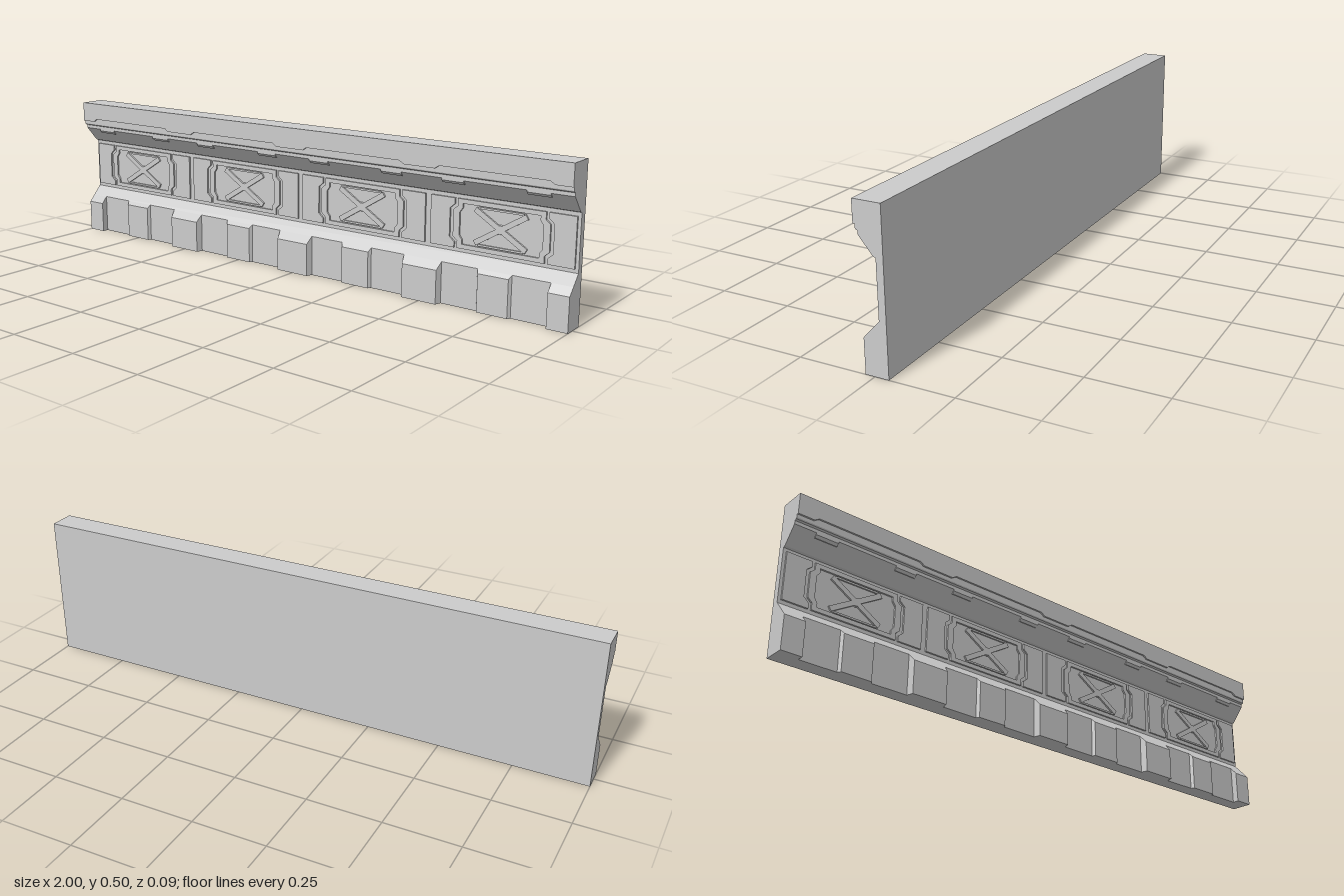
import * as THREE from 'three';

const material = new THREE.MeshStandardMaterial({ color: 0xcccccc, flatShading: true });
const toShape = (points) => new THREE.Shape(points.map(([x, y]) => new THREE.Vector2(x, y)));

// Sweep a [z, y] profile along x, centred on x = 0
function sweep(profile, width) {
  return new THREE.ExtrudeGeometry(toShape(profile), { depth: width, bevelEnabled: false })
    .rotateY(-Math.PI / 2).translate(width / 2, 0, 0);
}

// Raise a flat [x, y] outline from z0 to z1
function plate(points, z0, z1) {
  return new THREE.ExtrudeGeometry(toShape(points), { depth: z1 - z0, bevelEnabled: false })
    .translate(0, 0, z0);
}

function add(parent, name, geometry, x = 0) {
  const mesh = new THREE.Mesh(geometry, material);
  mesh.name = name;
  mesh.position.x = x;
  parent.add(mesh);
  return mesh;
}

const WALL = -0.022; // front plane of the recessed wall
const FACE = -0.016; // front plane of the raised panel work
const RECESS = 0.008; // front plane of the base between piers
const slopeY = (z) => 0.11 + (0.03 - z) * (0.057 / 0.052);

// Base pier, following the sloping base top, with slightly tapered flanks
function pierGeometry(width, z, taper = 0.006) {
  const g = sweep([[RECESS, 0], [z, 0], [z, slopeY(z)], [RECESS, slopeY(RECESS)]], width);
  const p = g.attributes.position;
  for (let i = 0; i < p.count; i++) {
    if (p.getZ(i) > RECESS + 0.001) p.setX(i, p.getX(i) - Math.sign(p.getX(i)) * taper);
  }
  g.computeVertexNormals();
  return g;
}

// One bay of raised panel work, centred on x = 0
function createPanel() {
  const panel = new THREE.Group();
  panel.name = 'panel';
  const mid = 0.257;

  // Side plates with a notched inner edge, and the stepped frame beside them
  for (const s of [-1, 1]) {
    const order = (pts) => (s > 0 ? pts : pts.reverse()).map(([x, y]) => [s * x, mid + y]);
    add(panel, 'sidePlate', plate(order([
      [0.24, -0.078], [0.24, 0.078], [0.155, 0.078], [0.155, 0.06],
      [0.172, 0.045], [0.172, -0.045], [0.155, -0.06], [0.155, -0.078],
    ]), -0.03, FACE));
    add(panel, 'sideFrame', plate(order([
      [0.145, -0.078], [0.145, -0.055], [0.16, -0.042], [0.16, 0.042], [0.145, 0.055], [0.145, 0.078],
      [0.128, 0.078], [0.128, 0.05], [0.138, 0.036], [0.138, -0.036], [0.128, -0.05], [0.128, -0.078],
    ]), -0.03, FACE));
  }

  // Top and bottom rails with a shallow inner lip
  for (const s of [-1, 1]) {
    const rail = add(panel, 'rail', new THREE.BoxGeometry(0.258, 0.014, 0.014));
    rail.position.set(0, mid + s * 0.071, FACE - 0.007);
    const lip = add(panel, 'railLip', new THREE.BoxGeometry(0.15, 0.006, 0.012));
    lip.position.set(0, mid + s * 0.058, FACE - 0.007);
  }

  // Crossed braces and their centre boss
  for (const s of [-1, 1]) {
    const brace = add(panel, 'crossBrace', new THREE.BoxGeometry(0.2, 0.017, 0.012));
    brace.position.set(0, mid, FACE - 0.006);
    brace.rotation.z = s * 0.55;
  }
  const boss = add(panel, 'centreBoss', new THREE.CylinderGeometry(0.014, 0.018, 0.012, 8).rotateX(Math.PI / 2));
  boss.position.set(0, mid, FACE - 0.006);
  return panel;
}

export function createModel() {
  const model = new THREE.Group();
  model.name = 'barrierWall';

  // Wall body with sloped base, recessed middle and stepped cornice
  add(model, 'wallBody', sweep([
    [-0.045, 0], [RECESS, 0], [RECESS, slopeY(RECESS)], [WALL, 0.167],
    [WALL, 0.347], [-0.014, 0.35], [0.03, 0.402], [0.03, 0.413], [0.037, 0.416],
    [0.039, 0.42], [0.039, 0.5], [-0.045, 0.5],
  ], 2));

  // Top fascia whose lower edge steps down at every main pier
  const fascia = [[1, 0.5], [-1, 0.5], [-1, 0.431]];
  for (let i = 0; i < 4; i++) {
    const c = -0.75 + i * 0.5;
    fascia.push([c - 0.195, 0.431], [c - 0.18, 0.441], [c + 0.18, 0.441], [c + 0.195, 0.431]);
  }
  fascia.push([1, 0.431]);
  add(model, 'fascia', plate(fascia, 0.03, 0.045));

  // Main piers, with half piers at both ends
  for (const x of [-0.5, 0, 0.5]) add(model, 'mainPier', pierGeometry(0.136, 0.03), x);
  for (const s of [-1, 1]) add(model, 'endPier', pierGeometry(0.068, 0.03, 0), s * 0.966);

  // Each bay has a shallow pier, panel work, cornice tabs and border strips
  for (let i = 0; i < 4; i++) {
    const x = -0.75 + i * 0.5;
    add(model, 'shallowPier', pierGeometry(0.115, 0.019), x);

    const panel = createPanel();
    panel.position.x = x;
    model.add(panel);

    for (const s of [-1, 1]) {
      add(model, 'corniceTab', sweep([
        [0.015, 0.39], [0.023, 0.388], [0.03, 0.396], [0.03, 0.405],
      ], 0.075), x + s * 0.14);
    }
  }
  return model;
}
